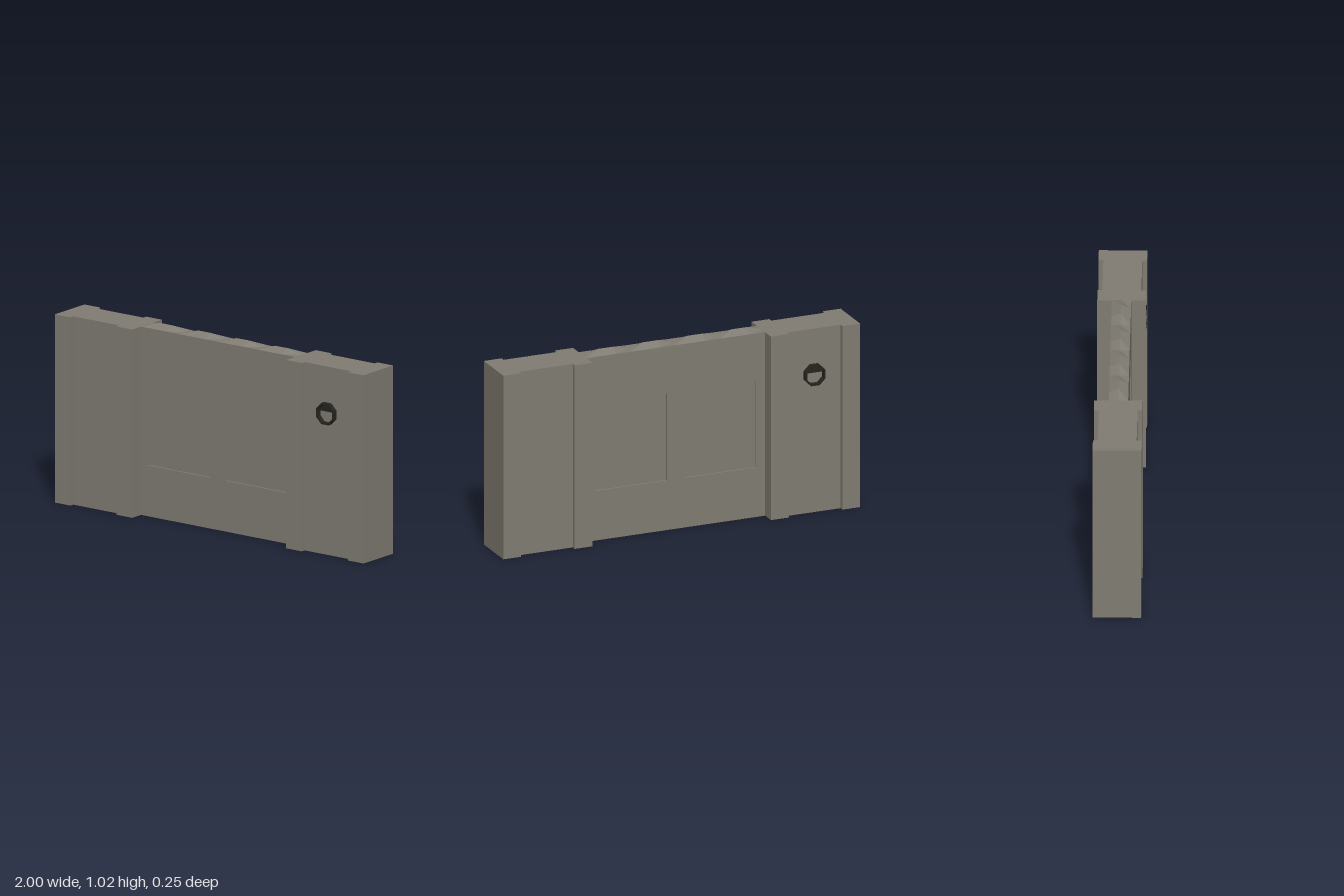
import * as THREE from 'three';

const stone = new THREE.MeshStandardMaterial({ name: 'stone', color: 0x807c73 });
const darkMetal = new THREE.MeshStandardMaterial({ name: 'dark metal', color: 0x25241e });

function add(parent, name, geometry, material, x = 0, y = 0, z = 0) {
  const mesh = new THREE.Mesh(geometry, material);
  mesh.name = name;
  mesh.position.set(x, y, z);
  parent.add(mesh);
  return mesh;
}

const points = (list) => list.map(([x, y]) => new THREE.Vector2(x, y));
const rect = (x0, y0, x1, y1) => points([[x0, y0], [x1, y0], [x1, y1], [x0, y1]]);
const extrude = (shape, depth) => new THREE.ExtrudeGeometry(shape, { depth, bevelEnabled: false });

// Flanged column: an I-shaped plan extruded upward
function pillarGeometry() {
  const half = [[0.25, -0.125], [0.25, 0.125], [0.15, 0.125], [0.15, 0.1], [-0.15, 0.1], [-0.15, 0.125]];
  const plan = new THREE.Shape(points([...half, [-0.25, 0.125], [-0.25, -0.125],
    [-0.15, -0.125], [-0.15, -0.1], [0.15, -0.1], [0.15, -0.125]]));
  return extrude(plan, 1).rotateX(-Math.PI / 2);
}

// Wall slab pierced by two window-shaped openings
function wallGeometry() {
  const face = new THREE.Shape(rect(-0.5, 0, 0.5, 1));
  for (const x of [-0.45, 0.05]) {
    face.holes.push(new THREE.Path(rect(x, 0.27, x + 0.4, 0.745)));
  }
  return extrude(face, 0.1).translate(0, 0, -0.05);
}

// Four low faceted humps along the top of the wall
function crestGeometry() {
  const grid = new THREE.PlaneGeometry(1, 0.1, 12, 2).rotateX(-Math.PI / 2);
  const pos = grid.attributes.position;
  for (let col = 0; col <= 12; col++) {
    if (col % 3 !== 0) pos.setY(13 + col, 0.022);
  }
  const flat = grid.toNonIndexed();
  flat.computeVertexNormals();
  return flat;
}

// Octagonal rim with a hood over its upper half
function makeSocket() {
  const socket = new THREE.Group();
  const octagon = (r) => Array.from({ length: 8 }, (_, i) => {
    const a = (i + 0.5) * Math.PI / 4;
    return new THREE.Vector2(r * Math.cos(a), r * Math.sin(a));
  });
  const rim = new THREE.Shape(octagon(0.061));
  rim.holes.push(new THREE.Path(octagon(0.05)));
  add(socket, 'socketRim', extrude(rim, 0.025), darkMetal);
  const hood = new THREE.Shape(points([[-0.046, 0.01], [0.046, 0.01], [0.046, 0.02], [0.02, 0.046], [-0.02, 0.046], [-0.046, 0.02]]));
  add(socket, 'socketHood', extrude(hood, 0.008), darkMetal);
  return socket;
}

export function createModel() {
  const model = new THREE.Group();
  model.name = 'stoneWall';

  // Centre wall with recessed panels on both faces
  add(model, 'wall', wallGeometry(), stone);
  for (const x of [-0.25, 0.25]) {
    add(model, 'recessedPanel', new THREE.BoxGeometry(0.4, 0.475, 0.08), stone, x, 0.5075, 0);
  }
  add(model, 'crest', crestGeometry(), stone, 0, 1.001, 0);

  // Pillars, with a socket on the front of one and the back of the other
  for (const side of [1, -1]) {
    add(model, 'pillar', pillarGeometry(), stone, side * 0.75, 0, 0);
    const socket = makeSocket();
    socket.name = side > 0 ? 'frontSocket' : 'backSocket';
    socket.position.set(side * 0.75, 0.753, side * 0.1);
    if (side < 0) socket.rotation.y = Math.PI;
    model.add(socket);
  }
  return model;
}
